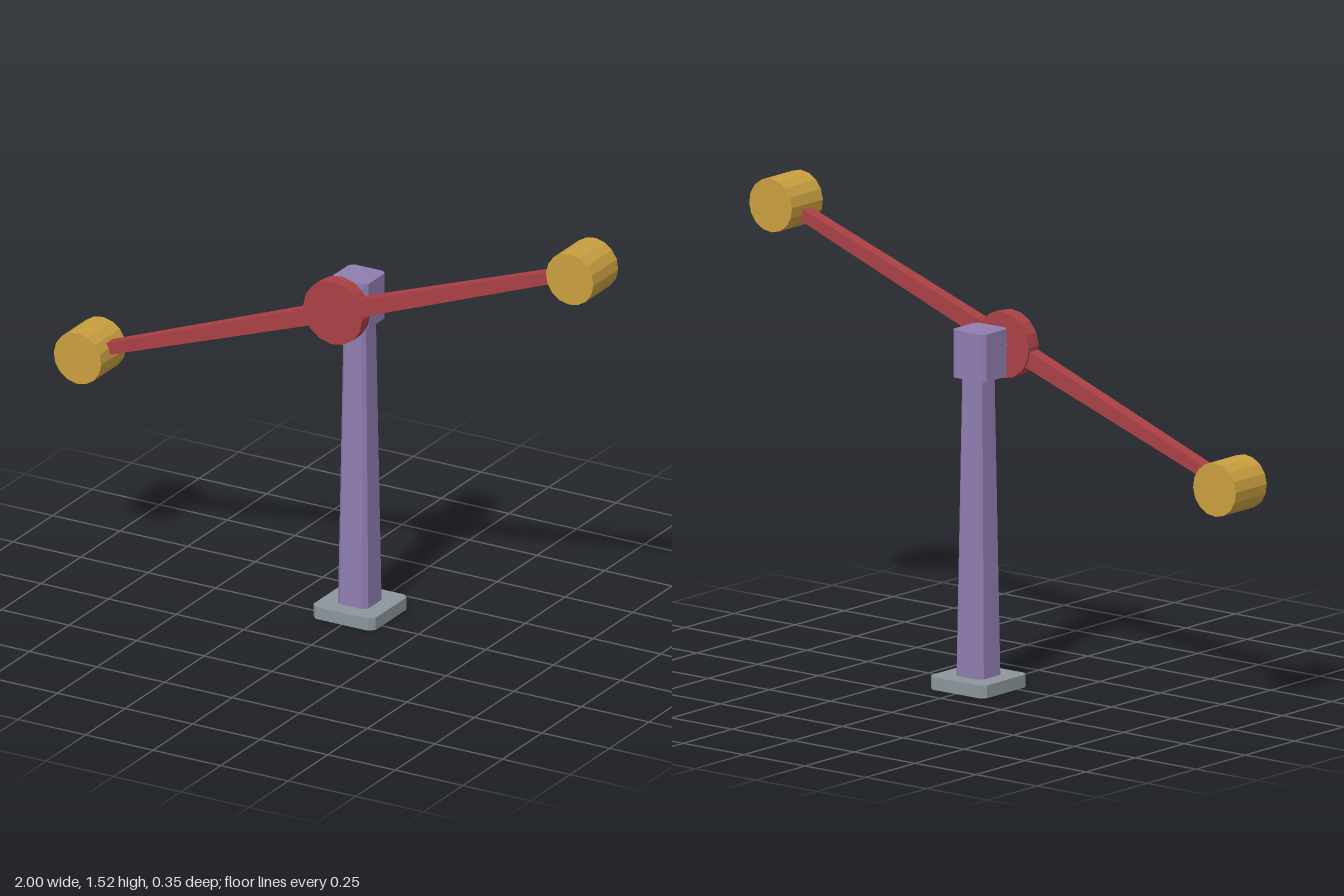
import * as THREE from 'three';

const mat = (name, color) => {
  const m = new THREE.MeshStandardMaterial({ color });
  m.name = name;
  return m;
};

// Upright block with cut corners, tapering from half-sizes hx, hz by a top scale
function chamferedBlock(hx, hz, y0, y1, c, topScale = 1) {
  const s = new THREE.Shape([
    [hx, -hz + c], [hx, hz - c], [hx - c, hz], [-hx + c, hz],
    [-hx, hz - c], [-hx, -hz + c], [-hx + c, -hz], [hx - c, -hz],
  ].map(([x, y]) => new THREE.Vector2(x, y)));
  const g = new THREE.ExtrudeGeometry(s, { depth: y1 - y0, bevelEnabled: false });
  g.rotateX(-Math.PI / 2).translate(0, y0, 0);
  const p = g.attributes.position;
  for (let i = 0; i < p.count; i++) {
    if (p.getY(i) > (y0 + y1) / 2) p.setXYZ(i, p.getX(i) * topScale, p.getY(i), p.getZ(i) * topScale);
  }
  g.computeVertexNormals();
  return g;
}

// Faceted disc lying along z between z0 and z1
function discZ(r, z0, z1, sides) {
  return new THREE.CylinderGeometry(r, r, z1 - z0, sides)
    .rotateX(Math.PI / 2).translate(0, 0, (z0 + z1) / 2);
}

export function createModel() {
  const model = new THREE.Group();
  const slate = mat('slate grey', 0x8a959b);
  const purple = mat('purple', 0x8f7db0);
  const red = mat('red', 0xaa4145);
  const gold = mat('gold', 0xc99f3f);
  for (const m of [slate, purple, red, gold]) m.flatShading = true;

  const add = (parent, name, geo, material, x = 0, y = 0, z = 0) => {
    const mesh = new THREE.Mesh(geo, material);
    mesh.name = name;
    mesh.position.set(x, y, z);
    parent.add(mesh);
    return mesh;
  };

  // Stand
  add(model, 'basePlate', chamferedBlock(0.115, 0.115, 0, 0.042, 0.018), slate, 0, 0, -0.058);
  add(model, 'column', chamferedBlock(0.056, 0.056, 0.042, 1.02, 0.014, 0.74), purple, 0, 0, -0.057);
  add(model, 'head', chamferedBlock(0.067, 0.065, 1.02, 1.176, 0.014), purple, 0, 0, -0.049);
  add(model, 'axle', discZ(0.022, 0.0, 0.07, 12), purple, 0, 1.103, 0);

  // Tilted rotor: hub, two tapering arms and two end weights
  const rotor = new THREE.Group();
  rotor.name = 'rotor';
  rotor.position.y = 1.102;
  rotor.rotation.z = THREE.MathUtils.degToRad(20);
  model.add(rotor);
  add(rotor, 'hub', discZ(0.109, 0.064, 0.115, 16), red);

  const armShape = new THREE.Shape([
    [0.06, -0.029], [0.93, -0.019], [0.93, 0.019], [0.06, 0.029],
  ].map(([x, y]) => new THREE.Vector2(x, y)));
  const armGeo = new THREE.ExtrudeGeometry(armShape, { depth: 0.042, bevelEnabled: false })
    .translate(0, 0, 0.072);
  const weightGeo = discZ(0.088, 0.015, 0.172, 16).translate(0.969, 0, 0);
  for (const [side, turn] of [['left', 0], ['right', Math.PI]]) {
    add(rotor, side + 'Arm', armGeo, red).rotation.z = turn;
    add(rotor, side + 'Weight', weightGeo, gold).rotation.z = turn;
  }
  return model;
}
